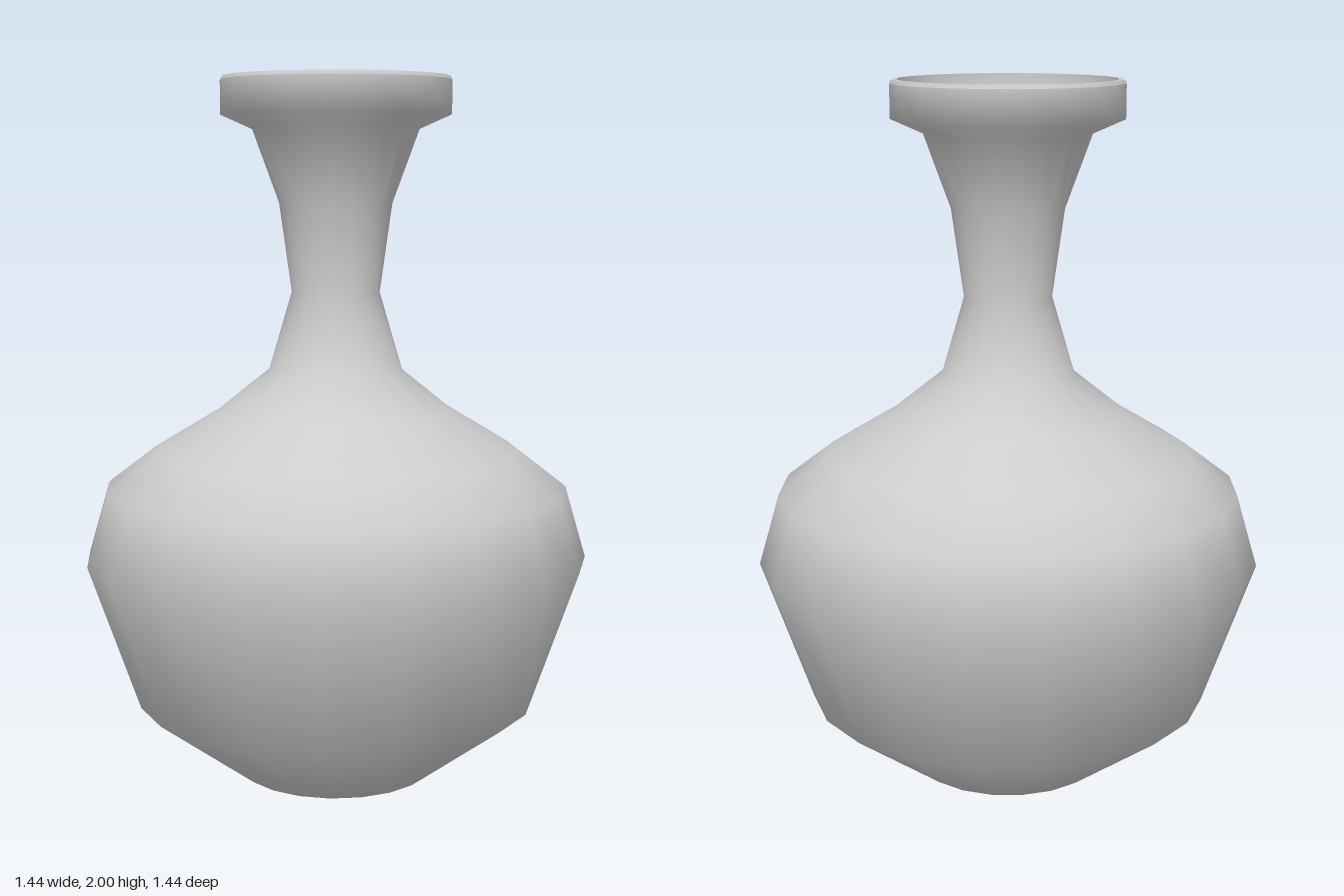
import * as THREE from 'three';

const SIDES = 20;
const material = new THREE.MeshStandardMaterial({ color: 0xcccccc, side: THREE.DoubleSide });

// Revolve a profile of [radius, height] points; each call has its own smooth normals
function turned(name, profile) {
  const points = profile.map(([r, y]) => new THREE.Vector2(r, y));
  const mesh = new THREE.Mesh(new THREE.LatheGeometry(points, SIDES), material);
  mesh.name = name;
  return mesh;
}

export function createModel() {
  const group = new THREE.Group();
  group.name = 'vase';

  // Belly, shoulder and neck, from the foot up to the cup
  const wall = [
    [0.30, 0.015], [0.575, 0.22], [0.72, 0.64], [0.66, 0.845], [0.53, 0.945],
    [0.34, 1.06], [0.19, 1.18], [0.125, 1.4], [0.16, 1.65], [0.235, 1.855],
  ];
  const cup = [[0.325, 1.895], [0.325, 1.99]];
  group.add(turned('body', [...wall, ...cup]));

  // Narrow bevelled foot and flat underside
  group.add(turned('foot', [[0.28, 0], [0.30, 0.015]]));
  group.add(turned('base', [[0, 0], [0.28, 0]]));

  // Lip with a small bevel on its outer edge
  group.add(turned('lipBevel', [[0.325, 1.99], [0.32, 2]]));
  group.add(turned('lip', [[0.32, 2], [0.305, 2]]));

  // Inside wall, set in slightly from the outside and running down to the floor
  const inner = wall.map(([r, y]) => [r - 0.006, y + 0.005]).reverse();
  group.add(turned('innerWall', [[0.305, 2], [0.305, 1.91], ...inner]));
  group.add(turned('innerFloor', [[0.294, 0.02], [0, 0.02]]));

  return group;
}
